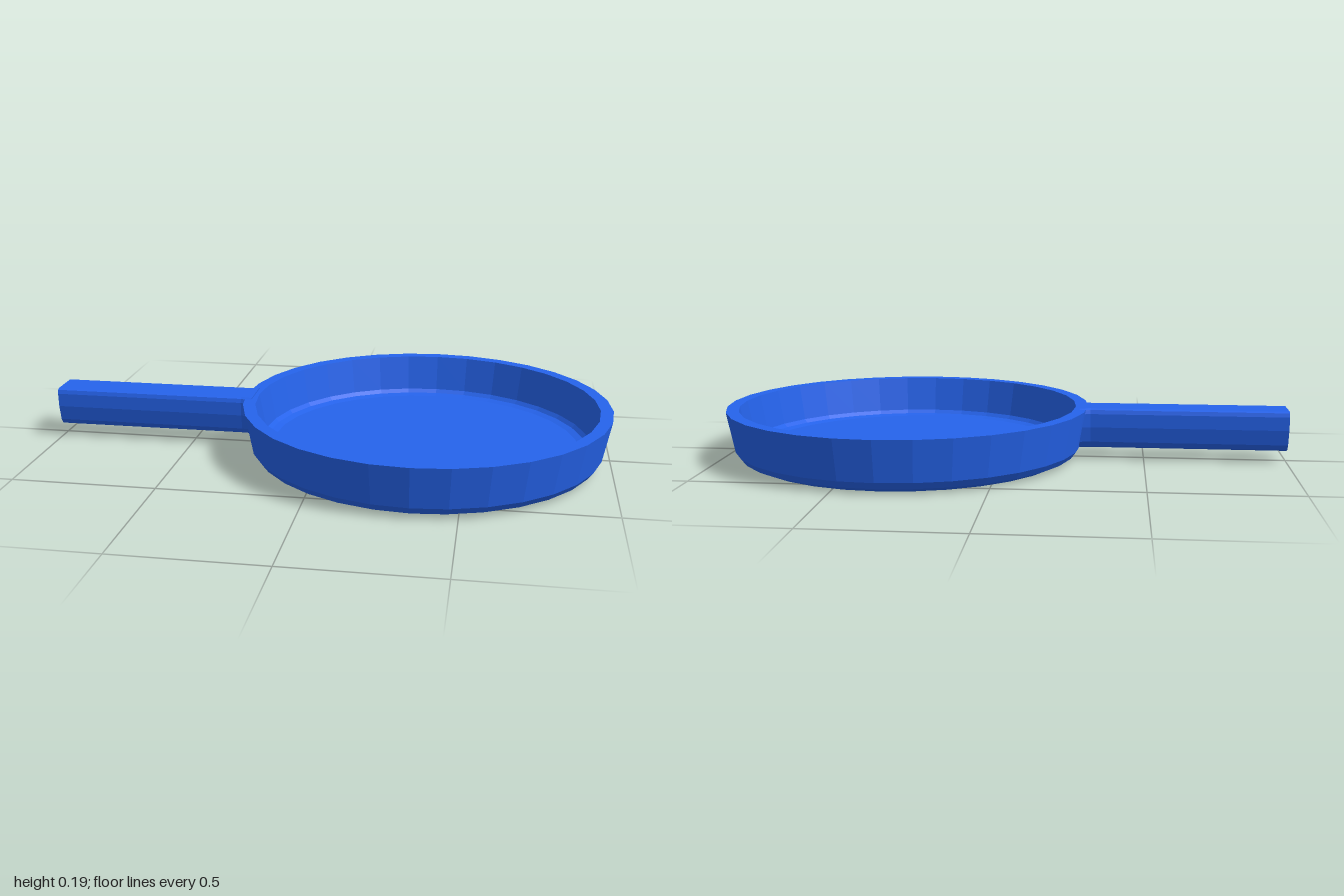
import * as THREE from 'three';

const material = new THREE.MeshStandardMaterial({ color: 0x2563eb, flatShading: true });

// Half cross-section of the handle: [half width, height], top to bottom
const HALF = [[0.055, 0.187], [0.064, 0.182], [0.068, 0.168], [0.066, 0.12], [0.054, 0.066], [0.042, 0.048], [0.022, 0.04]];

function handlePiece(name, xOuter, xInner, flare = 1) {
  const left = HALF.map(([w, y]) => new THREE.Vector2(w, y));
  const right = HALF.map(([w, y]) => new THREE.Vector2(-w, y)).reverse();
  const length = xInner - xOuter;
  const geometry = new THREE.ExtrudeGeometry(new THREE.Shape([...left, ...right]), { depth: length, bevelEnabled: false });
  // Widen the end that meets the pan
  const p = geometry.attributes.position;
  for (let i = 0; i < p.count; i++) {
    if (p.getZ(i) < length / 2) p.setX(i, p.getX(i) * flare);
  }
  geometry.rotateY(-Math.PI / 2).translate(xInner, 0, 0);
  geometry.computeVertexNormals();
  const mesh = new THREE.Mesh(geometry, material);
  mesh.name = name;
  return mesh;
}

export function createModel() {
  const group = new THREE.Group();
  group.name = 'fryingPan';

  // Pan body: outer wall, flat rim, inner wall and floor in one closed profile
  const profile = [
    [0, 0], [0.57, 0], [0.605, 0.016], [0.623, 0.04], [0.65, 0.183],
    [0.606, 0.183], [0.582, 0.054], [0.57, 0.041], [0.545, 0.035], [0, 0.035],
  ].map(([r, y]) => new THREE.Vector2(r, y));
  const pan = new THREE.Mesh(new THREE.LatheGeometry(profile, 32), material);
  pan.name = 'panBody';
  pan.position.x = 0.35;
  group.add(pan);

  // Handle with a slightly flared joint at the wall
  group.add(handlePiece('handle', -1, -0.31));
  group.add(handlePiece('handleJoint', -0.31, -0.27, 1.15));
  return group;
}
